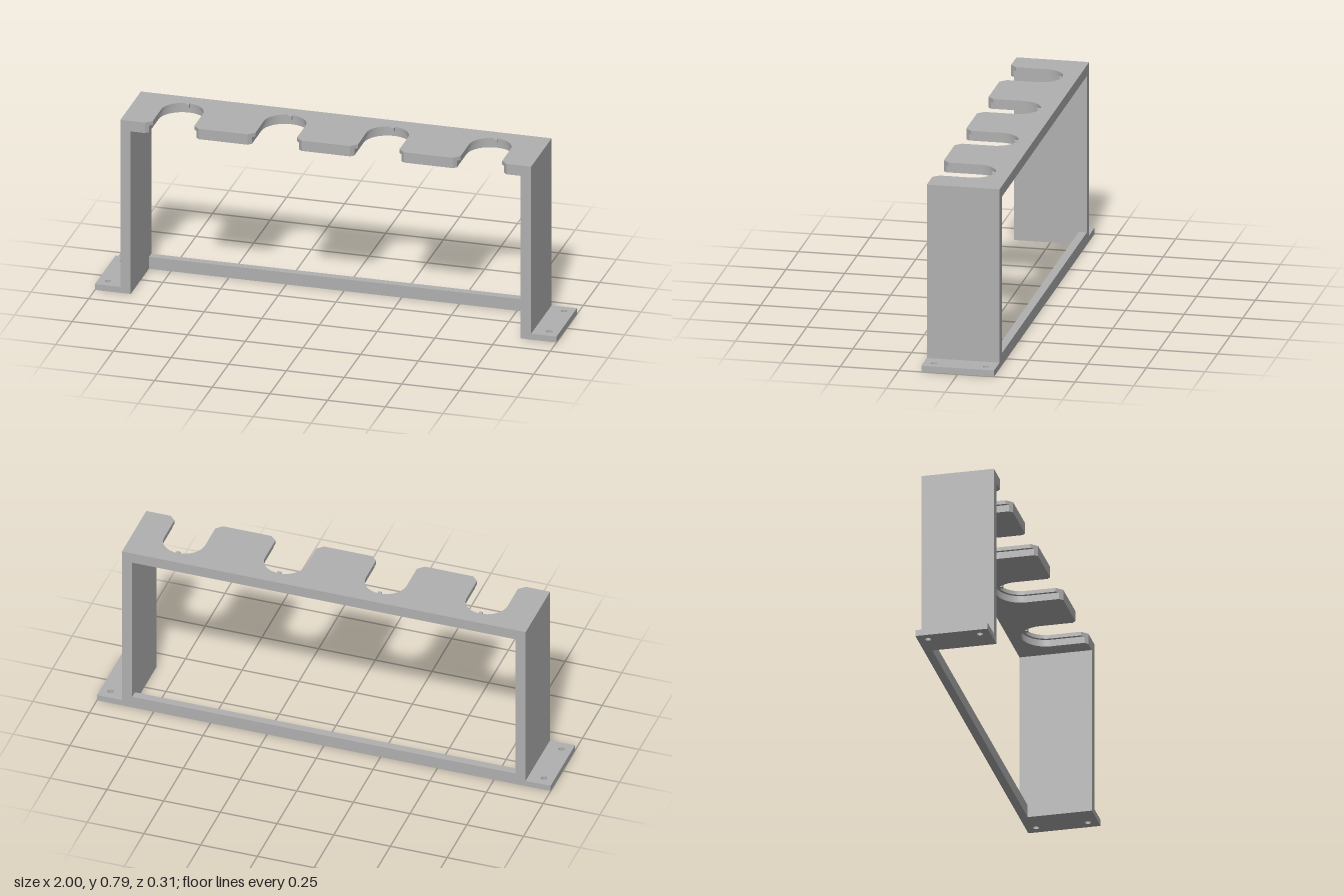
import * as THREE from 'three';

const W = 0.89, IN = 0.845, D = 0.155, TOP = 0.785, UNDER = 0.738, LEDGE = 0.768;
const SLOTS = [-0.667, -0.222, 0.222, 0.667];

// Extrudes a plan outline (x, -z) upwards from y0 to y1
function plate(shape, y0, y1) {
  const g = new THREE.ExtrudeGeometry(shape, { depth: y1 - y0, bevelEnabled: false, curveSegments: 24 });
  return g.rotateX(-Math.PI / 2).translate(0, y0, 0);
}

// Slab outline with round-ended slots open to the front, chamfered at the mouth
function slabShape(r, tab) {
  const s = new THREE.Shape();
  const mouth = 0.116, ch = mouth - r;
  s.moveTo(-W, -D);
  for (const x of SLOTS) {
    s.lineTo(x - mouth, -D);
    s.lineTo(x - r, -D + ch);
    s.lineTo(x - r, 0);
    if (tab) {
      // small locating tab at the crown of the slot
      const t = 0.008, a = Math.acos(t / r), tip = r - 0.014;
      s.absarc(x, 0, r, Math.PI, Math.PI - a, true);
      s.lineTo(x - t, tip);
      s.lineTo(x + t, tip);
      s.absarc(x, 0, r, a, 0, true);
    } else {
      s.absarc(x, 0, r, Math.PI, 0, true);
    }
    s.lineTo(x + r, -D + ch);
    s.lineTo(x + mouth, -D);
  }
  s.lineTo(W, -D);
  s.lineTo(W, D);
  s.lineTo(-W, D);
  s.closePath();
  return s;
}

export function createModel() {
  const group = new THREE.Group();
  const grey = new THREE.MeshStandardMaterial({ color: 0xb0b0b0 });
  grey.name = 'grey';
  const add = (name, geo) => {
    const m = new THREE.Mesh(geo, grey);
    m.name = name;
    group.add(m);
  };
  const box = (x0, x1, y0, y1, z0, z1) =>
    new THREE.BoxGeometry(x1 - x0, y1 - y0, z1 - z0)
      .translate((x0 + x1) / 2, (y0 + y1) / 2, (z0 + z1) / 2);

  // Slotted top: thin upper lip over a slightly wider lower slot
  add('topLip', plate(slabShape(0.09, true), LEDGE, TOP));
  add('topSlab', plate(slabShape(0.102, false), UNDER, LEDGE));

  for (const side of [-1, 1]) {
    const name = side > 0 ? 'left' : 'right';
    const a = side * IN, b = side * W;
    add(name + 'Leg', box(Math.min(a, b), Math.max(a, b), 0, UNDER, -D, D));

    // Mounting foot with two screw holes
    const x0 = side > 0 ? W : -1, x1 = side > 0 ? 1 : -W;
    const s = new THREE.Shape();
    s.moveTo(x0, -D);
    s.lineTo(x1, -D);
    s.lineTo(x1, D);
    s.lineTo(x0, D);
    s.closePath();
    for (const z of [-0.111, 0.111]) {
      s.holes.push(new THREE.Path().absarc(side * 0.956, z, 0.013, 0, Math.PI * 2, true));
    }
    add(name + 'Foot', plate(s, 0, 0.027));
  }

  // Low brace along the back
  add('backBrace', box(-IN, IN, 0, 0.054, -D, -D + 0.035));
  return group;
}
